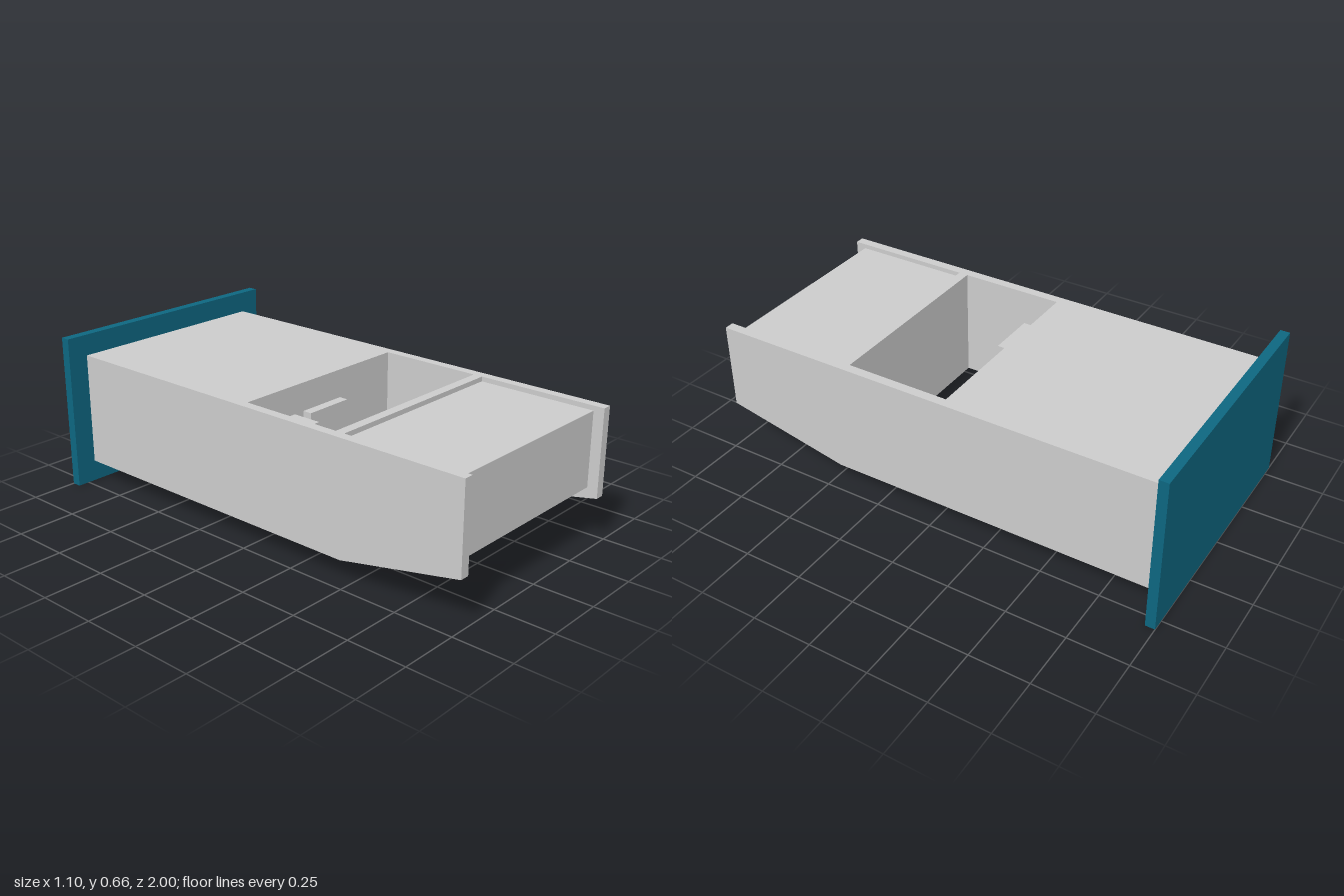
import * as THREE from 'three';

const material = (color) => new THREE.MeshStandardMaterial({ color, flatShading: true });

export function createModel() {
  const model = new THREE.Group();
  const grey = material(0xcccccc);
  const teal = material(0x0d6680);
  const dark = material(0x666666);

  const add = (name, geometry, mat = grey) => {
    const mesh = new THREE.Mesh(geometry, mat);
    mesh.name = name;
    model.add(mesh);
    return mesh;
  };

  // Box given by its limits on each axis
  const box = (name, [x0, x1], [y0, y1], [z0, z1], mat) =>
    add(name, new THREE.BoxGeometry(x1 - x0, y1 - y0, z1 - z0), mat)
      .position.set((x0 + x1) / 2, (y0 + y1) / 2, (z0 + z1) / 2);

  // Side profile of [z, y] points, extruded across x from x0 to x1
  const profile = (name, points, x0, x1) => {
    const shape = new THREE.Shape(points.map(([z, y]) => new THREE.Vector2(z, y)));
    const geometry = new THREE.ExtrudeGeometry(shape, { depth: x1 - x0, bevelEnabled: false });
    geometry.rotateY(-Math.PI / 2).translate(x1, 0, 0);
    return add(name, geometry);
  };

  const inner = 0.42, outer = 0.46;

  // Upright panel at the back
  box('backPanel', [-0.55, 0.55], [0, 0.66], [-1, -0.96], teal);

  // Side walls, cut upward toward the front
  const wall = [[-0.96, 0.09], [0.46, 0.09], [1, 0.2], [1, 0.57], [-0.96, 0.57]];
  profile('leftWall', wall, inner, outer);
  profile('rightWall', wall, -outer, -inner);

  // Rear body with the plate beneath it
  box('rearBody', [-inner, inner], [0.09, 0.57], [-0.96, -0.04]);
  box('bottomPlate', [-inner, inner], [0.07, 0.09], [-0.91, -0.08]);

  // Blocks on the rear body, inside the open bay
  box('largeBlock', [-0.375, -0.16], [0.15, 0.45], [-0.04, 0.09]);
  box('smallBlock', [-0.11, 0.11], [0.15, 0.45], [-0.04, 0]);

  // Divider between the open bay and the front block
  box('divider', [-inner, inner], [0.09, 0.57], [0.405, 0.445]);

  // Front block with sloping underside
  const back = [0.445, 0.135], front = [0.955, 0.236];
  profile('frontBlock', [back, front, [0.955, 0.55], [0.445, 0.55]], -inner, inner);

  // Dark rectangle on the sloping underside
  const slope = Math.atan2(front[1] - back[1], front[0] - back[0]);
  const window = add('undersideWindow', new THREE.PlaneGeometry(0.485, 0.44), dark);
  window.rotation.x = Math.PI / 2 - slope;
  window.position.set(-0.1325, 0.1825 - 0.002, 0.685);

  return model;
}
